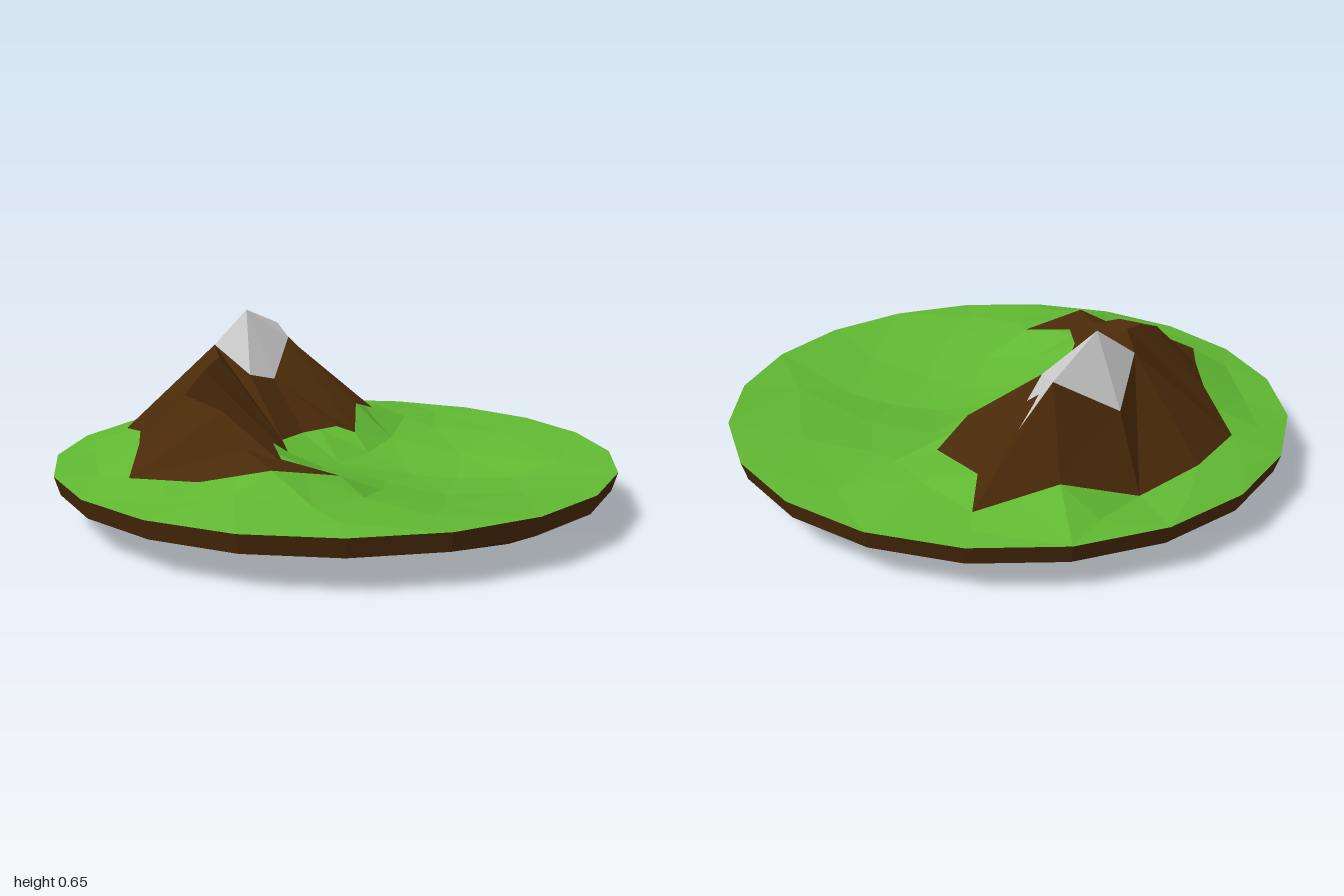
import * as THREE from 'three';

const SIDES = 20;

function facetMesh(name, triangles, color) {
  const geometry = new THREE.BufferGeometry();
  geometry.setAttribute('position', new THREE.Float32BufferAttribute(triangles.flat(2), 3));
  geometry.computeVertexNormals();
  const mesh = new THREE.Mesh(geometry, new THREE.MeshStandardMaterial({ color, flatShading: true }));
  mesh.name = name;
  return mesh;
}

// Foot of the mountain, anticlockwise from above, starting at the back right
const foot = [
  [.26, .2, -.79], [0, .29, -.83], [-.26, .2, -.79], [-.49, .22, -.67], [-.67, .22, -.49],
  [-.67, .27, -.2], [-.71, .27, 0], [-.79, .22, .25], [-.6, .23, .41], [-.41, .29, .57],
  [-.17, .24, .52], [-.33, .27, .44], [-.3, .29, .22], [-.18, .19, .02], [-.17, .22, -.1],
  [-.06, .22, -.19], [.08, .23, -.21], [.14, .21, -.17], [.2, .29, -.32], [.32, .24, -.45],
  [.22, .25, -.65],
];

// Upper edge of the rock: first the snow line, then the descending ridge
const top = {
  backTooth: [.1, .41, -.69], shoulder: [0, .57, -.71], back: [-.22, .44, -.68],
  west: [-.33, .53, -.45], frontA: [-.23, .43, -.31], frontB: [-.12, .4, -.36],
  notchA: [0, .53, -.56], frontTooth: [.1, .39, -.61], notchB: [.03, .51, -.66],
  ridgeA: [-.37, .52, -.22], ridgeB: [-.45, .49, -.12], ridgeC: [-.55, .43, 0],
  ridgeD: [-.46, .4, .17], ridgeE: [-.42, .3, .32],
};
const peak = [-.18, .65, -.53];

// Which foot point stands below which upper point
const slopes = [
  [0, 'backTooth'], [0, 'shoulder'], [1, 'shoulder'], [2, 'back'], [3, 'west'], [4, 'west'],
  [5, 'ridgeA'], [5, 'ridgeB'], [6, 'ridgeC'], [7, 'ridgeD'], [8, 'ridgeE'], [9, 'ridgeE'],
  [10, 'ridgeE'], [11, 'ridgeE'], [12, 'ridgeD'], [13, 'ridgeC'], [14, 'ridgeB'], [14, 'ridgeA'],
  [14, 'west'], [15, 'frontA'], [16, 'frontB'], [17, 'frontB'], [18, 'notchA'],
  [19, 'frontTooth'], [20, 'notchB'],
];

function mountainTriangles() {
  const out = [];
  slopes.forEach(([f, t], i) => {
    const [f2, t2] = slopes[(i + 1) % slopes.length];
    if (f !== f2) out.push([foot[f], foot[f2], top[t2]]);
    if (t !== t2) out.push([foot[f], top[t2], top[t]]);
  });
  return out;
}

// Snow fans out from the peak and from the lower shoulder
function snowTriangles() {
  const fan = (names, apex) => names.slice(1).map((n, i) => [top[names[i]], top[n], apex]);
  return [
    ...fan(['shoulder', 'back', 'west', 'frontA', 'frontB', 'notchA', 'shoulder'], peak),
    ...fan(['notchA', 'frontTooth', 'notchB', 'backTooth'], top.shoulder),
  ];
}

// Meadow: a shallow basin beside the mountain, then bumps around its outside
const basin = [
  [0, .15, .03], [.16, .15, -.08], [.3, .17, -.2], [.25, .105, .12], [.1, .125, .25], [-.1, .17, .14],
  [-.16, .2, .32], [0, .16, .45], [.25, .11, .42], [.5, .135, 0], [.52, .175, -.3], [.75, .17, -.15],
  [.55, .115, .3], [.45, .14, .58], [.12, .16, .68], [.75, .155, .3], [.4, .1, .2],
];
const surroundings = [
  [-.15, .21, .68], [-.34, .22, .76], [-.54, .24, .62], [-.3, .2, .87], [0, .185, .85],
  [-.72, .2, .5], [-.87, .2, .1], [-.83, .2, -.2], [-.8, .2, -.42], [-.65, .2, -.66],
  [-.4, .2, -.84], [-.1, .21, -.92], [.28, .19, -.88], [.4, .22, -.6], [.45, .2, -.42],
  [.65, .18, -.55],
];

const ringPoint = (r, i, y) => {
  const a = (i / SIDES) * Math.PI * 2;
  return [r * Math.cos(a), y, -r * Math.sin(a)];
};

// Delaunay triangulation in plan
function triangulate(points) {
  const pts = [...points, [-50, 0, -40], [50, 0, -41], [1, 0, 60]];
  const n = points.length;
  const circle = (t) => {
    const [[ax, , az], [bx, , bz], [cx, , cz]] = t.map((i) => pts[i]);
    const d = 2 * (ax * (bz - cz) + bx * (cz - az) + cx * (az - bz));
    const A = ax * ax + az * az, B = bx * bx + bz * bz, C = cx * cx + cz * cz;
    const x = (A * (bz - cz) + B * (cz - az) + C * (az - bz)) / d;
    const z = (A * (cx - bx) + B * (ax - cx) + C * (bx - ax)) / d;
    return { t, x, z, r: Math.hypot(ax - x, az - z) };
  };
  let tris = [circle([n, n + 1, n + 2])];
  for (let p = 0; p < n; p++) {
    const hit = (c) => Math.hypot(pts[p][0] - c.x, pts[p][2] - c.z) < c.r - 1e-9;
    const edges = new Map();
    for (const { t } of tris.filter(hit)) {
      for (let k = 0; k < 3; k++) {
        const e = [t[k], t[(k + 1) % 3]];
        const key = [...e].sort((a, b) => a - b).join();
        if (edges.has(key)) edges.delete(key);
        else edges.set(key, e);
      }
    }
    tris = tris.filter((c) => !hit(c));
    for (const e of edges.values()) tris.push(circle([...e, p]));
  }
  return tris.filter(({ t }) => t.every((i) => i < n)).map(({ t }) => t.map((i) => pts[i]));
}

function insideFoot(x, z) {
  let inside = false;
  foot.forEach(([ax, , az], i) => {
    const [bx, , bz] = foot[(i + 1) % foot.length];
    if ((az > z) !== (bz > z) && x < ax + ((z - az) * (bx - ax)) / (bz - az)) inside = !inside;
  });
  return inside;
}

function meadowTriangles() {
  // Extra points halfway along the foot keep the border clean
  const border = foot.flatMap((a, i) => {
    const b = foot[(i + 1) % foot.length];
    return [a, a.map((v, k) => (v + b[k]) / 2)];
  });
  const rim = Array.from({ length: SIDES }, (_, i) => ringPoint(1, i, .18));
  return triangulate([...border, ...basin, ...surroundings, ...rim])
    .filter((t) => !insideFoot((t[0][0] + t[1][0] + t[2][0]) / 3, (t[0][2] + t[1][2] + t[2][2]) / 3))
    .map(([a, b, c]) => {
      const up = (b[2] - a[2]) * (c[0] - a[0]) - (b[0] - a[0]) * (c[2] - a[2]);
      return up > 0 ? [a, b, c] : [a, c, b];
    });
}

// The underside sags to its lowest point below the basin
function sag(x, z) {
  const spread = .67 * Math.sqrt(Math.abs(z - .25));
  return .095 * THREE.MathUtils.smoothstep(Math.hypot(x - .33, spread), .2, .72);
}

// Rim wall and underside
function earthTriangles() {
  const ring = (r, y) => Array.from({ length: SIDES }, (_, i) => ringPoint(r, i, y));
  const under = (r) => ring(r, 0).map(([x, , z]) => [x, sag(x, z), z]);
  const rings = [ring(1, .18), ring(.98, .115), under(.87), under(.65), under(.42), under(.2)];
  const middle = [0, sag(0, 0), 0];
  const out = [];
  for (let i = 0; i < SIDES; i++) {
    const j = (i + 1) % SIDES;
    for (let k = 0; k < rings.length - 1; k++) {
      const upper = rings[k], lower = rings[k + 1];
      out.push([upper[i], lower[i], lower[j]], [upper[i], lower[j], upper[j]]);
    }
    const last = rings[rings.length - 1];
    out.push([last[i], middle, last[j]]);
  }
  return out;
}

export function createModel() {
  const island = new THREE.Group();
  island.name = 'island';
  island.add(
    facetMesh('earthBase', earthTriangles(), 0x4a2a09),
    facetMesh('meadow', meadowTriangles(), 0x60b832),
    facetMesh('mountain', mountainTriangles(), 0x4a2a09),
    facetMesh('snowCap', snowTriangles(), 0xcccccc),
  );
  return island;
}
